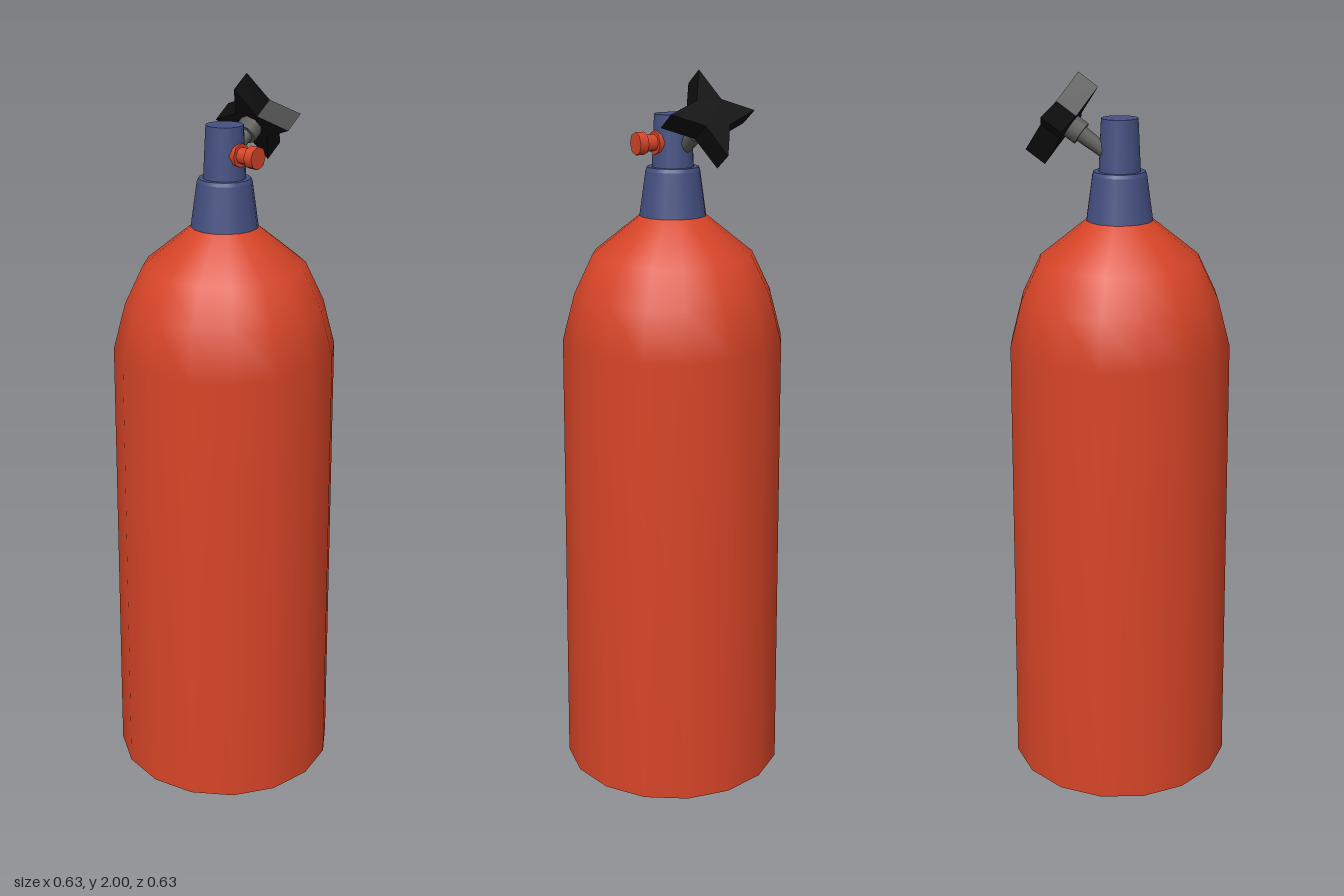
import * as THREE from 'three';

const mat = (name, color) => {
  const m = new THREE.MeshStandardMaterial({ color });
  m.name = name;
  return m;
};

export function createModel() {
  const red = mat('red paint', 0xd64427);
  const blue = mat('blue metal', 0x445081);
  const grey = mat('grey metal', 0x5c5c5a);
  const black = mat('black plastic', 0x0d0d0d);

  const model = new THREE.Group();
  model.name = 'gasCylinder';

  const add = (parent, name, geometry, material, y = 0) => {
    const mesh = new THREE.Mesh(geometry, material);
    mesh.name = name;
    mesh.position.y = y;
    parent.add(mesh);
    return mesh;
  };
  // Cylinder running from y0 to y1 along its group's y axis
  const tube = (parent, name, material, r0, r1, y0, y1, sides) =>
    add(parent, name, new THREE.CylinderGeometry(r1, r0, y1 - y0, sides), material, (y0 + y1) / 2);

  // Tank: slightly tapered wall with a rounded shoulder
  const profile = [
    [0.317, 0], [0.305, 1.278], [0.271, 1.406], [0.22, 1.512], [0.085, 1.62],
  ].map(([r, y]) => new THREE.Vector2(r, y));
  add(model, 'tank', new THREE.LatheGeometry(profile, 16), red);
  const base = new THREE.CircleGeometry(0.317, 16).rotateX(Math.PI / 2);
  add(model, 'tankBase', base, red);

  // Valve body
  tube(model, 'neck', blue, 0.091, 0.074, 1.615, 1.735, 16);
  tube(model, 'neckRim', blue, 0.074, 0.07, 1.735, 1.745, 16);
  tube(model, 'valveBody', blue, 0.057, 0.05, 1.74, 1.883, 16);

  // Outlet pointing to the front
  const outlet = new THREE.Group();
  outlet.name = 'outlet';
  outlet.position.y = 1.81;
  outlet.rotation.x = Math.PI / 2;
  model.add(outlet);
  tube(outlet, 'outletFlange', red, 0.032, 0.032, 0.04, 0.057, 8);
  tube(outlet, 'outletPipe', red, 0.022, 0.022, 0.05, 0.09, 8);
  tube(outlet, 'outletCap', red, 0.03, 0.03, 0.088, 0.113, 8);

  // Tilted valve handle, built along its own axis
  const handle = new THREE.Group();
  handle.name = 'valveHandle';
  handle.position.set(0.153, 1.88, -0.015);
  handle.rotation.z = -THREE.MathUtils.degToRad(54.5);
  model.add(handle);
  tube(handle, 'stem', grey, 0.018, 0.023, -0.155, -0.06, 8);
  tube(handle, 'collar', grey, 0.033, 0.033, -0.066, -0.03, 8);

  // Four-pointed star knob
  const star = new THREE.Shape();
  for (let i = 0; i < 8; i++) {
    const r = i % 2 ? 0.052 : 0.125;
    const a = (i * Math.PI) / 4;
    star[i ? 'lineTo' : 'moveTo'](r * Math.cos(a), r * Math.sin(a));
  }
  star.closePath();
  const knob = new THREE.ExtrudeGeometry(star, { depth: 0.064, bevelEnabled: false });
  knob.translate(0, 0, -0.032).rotateX(-Math.PI / 2);
  add(handle, 'starKnob', knob, black);

  return model;
}
